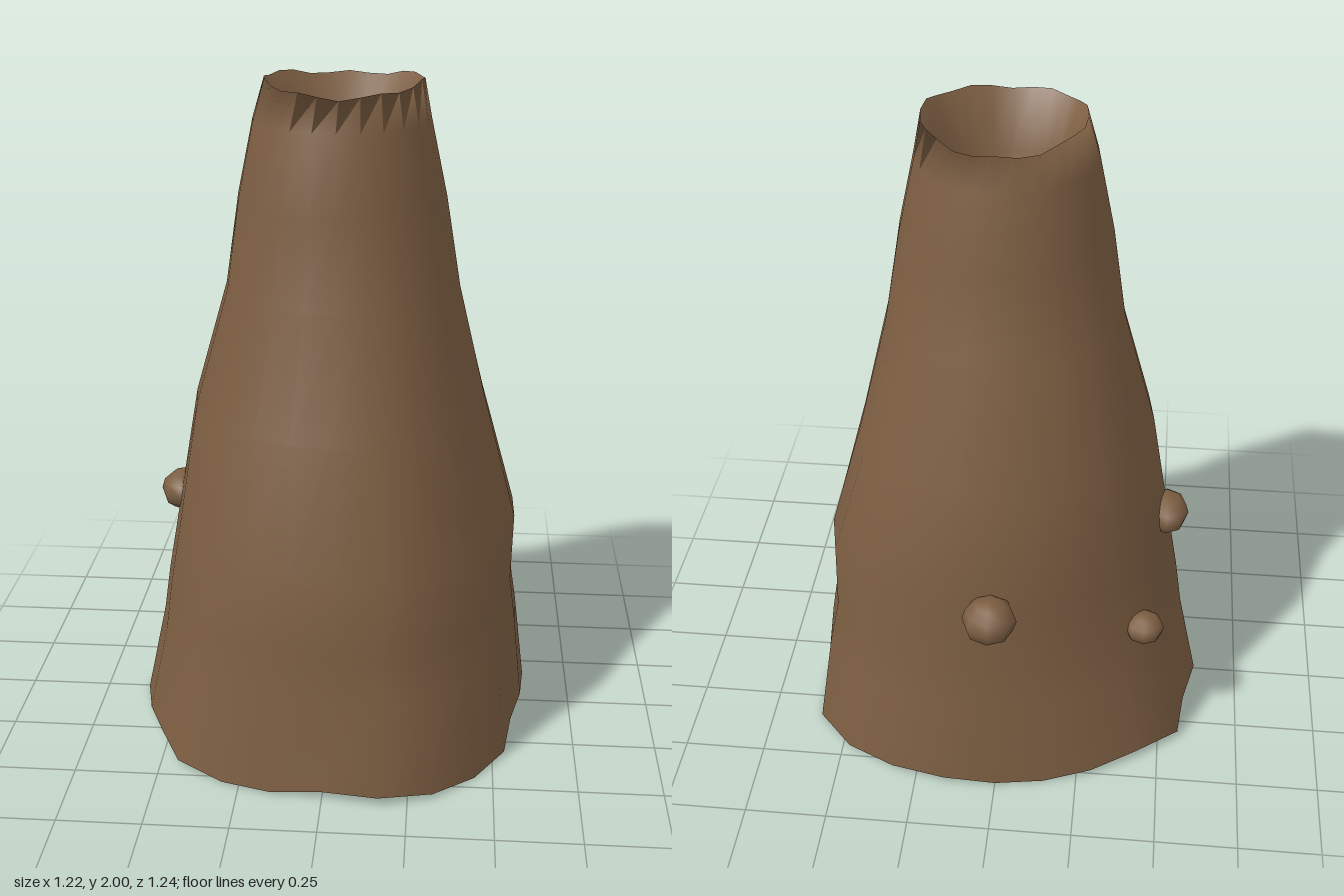
import * as THREE from 'three';

// Ground outline: radius every 15 degrees, from +x towards +z
const OUTLINE = [
  0.595, 0.58, 0.62, 0.63, 0.645, 0.635, 0.585, 0.59, 0.605, 0.63, 0.6, 0.6,
  0.615, 0.6, 0.65, 0.61, 0.59, 0.575, 0.585, 0.615, 0.65, 0.675, 0.685, 0.63,
];
const SEGMENTS = OUTLINE.length;

// Each level: height, x min, x max, z min, z max, how round it is (0 outline, 1 ellipse)
const LEVELS = [
  [0.015, -0.6, 0.6, -0.59, 0.605, 0],
  [0.3, -0.54, 0.57, -0.55, 0.565, 0.2],
  [0.45, -0.52, 0.55, -0.53, 0.555, 0.35],
  [0.66, -0.485, 0.555, -0.52, 0.54, 0.5],
  [1.04, -0.425, 0.45, -0.48, 0.44, 0.7],
  [1.39, -0.325, 0.365, -0.335, 0.325, 0.8],
  [1.66, -0.285, 0.32, -0.298, 0.305, 0.9],
  [1.88, -0.24, 0.272, -0.25, 0.255, 1],
  [1.985, -0.205, 0.25, -0.225, 0.235, 1], // rim
  [1.8, -0.17, 0.205, -0.18, 0.19, 1], // crater wall
  [1.62, -0.1, 0.13, -0.11, 0.12, 1],
  [1.54, 0.015, 0.015, 0, 0, 1], // crater floor
];
const RIM = 8;

function createMoundGeometry() {
  const positions = [];
  const index = [];
  LEVELS.forEach(([height, x0, x1, z0, z1, round], i) => {
    for (let j = 0; j < SEGMENTS; j++) {
      const a = (j / SEGMENTS) * Math.PI * 2;
      let k = THREE.MathUtils.lerp(OUTLINE[j] / 0.6, 1, round);
      // shallow hollow on the front left flank
      k -= 0.07 * Math.exp(-(((a - 0.7) / 0.4) ** 2) - ((height - 0.8) / 0.3) ** 2);
      let y = height;
      if (i === 0) y += 0.015 * Math.sin(a * 5 + 1); // uneven foot
      if (i === RIM) y += 0.012 * Math.cos(a * 2) + 0.006 * Math.sin(a * 7); // chipped rim
      positions.push(
        (x0 + x1) / 2 + (Math.cos(a) * k * (x1 - x0)) / 2,
        y,
        (z0 + z1) / 2 + (Math.sin(a) * k * (z1 - z0)) / 2,
      );
      if (i < LEVELS.length - 1) {
        const p = i * SEGMENTS + j;
        const q = i * SEGMENTS + ((j + 1) % SEGMENTS);
        index.push(p, p + SEGMENTS, q, q, p + SEGMENTS, q + SEGMENTS);
      }
    }
  });
  const geometry = new THREE.BufferGeometry();
  geometry.setAttribute('position', new THREE.Float32BufferAttribute(positions, 3));
  geometry.setIndex(index);
  geometry.computeVertexNormals();
  return geometry;
}

export function createModel() {
  const model = new THREE.Group();
  model.name = 'hollowMound';
  const earth = new THREE.MeshStandardMaterial({ color: 0x7c5e42 });
  earth.name = 'brownEarth';
  earth.side = THREE.DoubleSide;

  // Tapered shell, open below, with a crater in the top
  const mound = new THREE.Mesh(createMoundGeometry(), earth);
  mound.name = 'mound';
  model.add(mound);

  // Small lumps on the back and right flanks: position, then radii
  const lumps = [
    [0.015, 0.665, -0.545, 0.08, 0.07, 0.08],
    [-0.485, 0.7, -0.035, 0.068, 0.06, 0.085],
    [-0.435, 0.48, -0.33, 0.06, 0.048, 0.06],
  ];
  lumps.forEach(([x, y, z, rx, ry, rz], i) => {
    const lump = new THREE.Mesh(new THREE.SphereGeometry(1, 8, 6), earth);
    lump.name = `lump${i + 1}`;
    lump.position.set(x, y, z);
    lump.scale.set(rx, ry, rz);
    model.add(lump);
  });
  return model;
}
